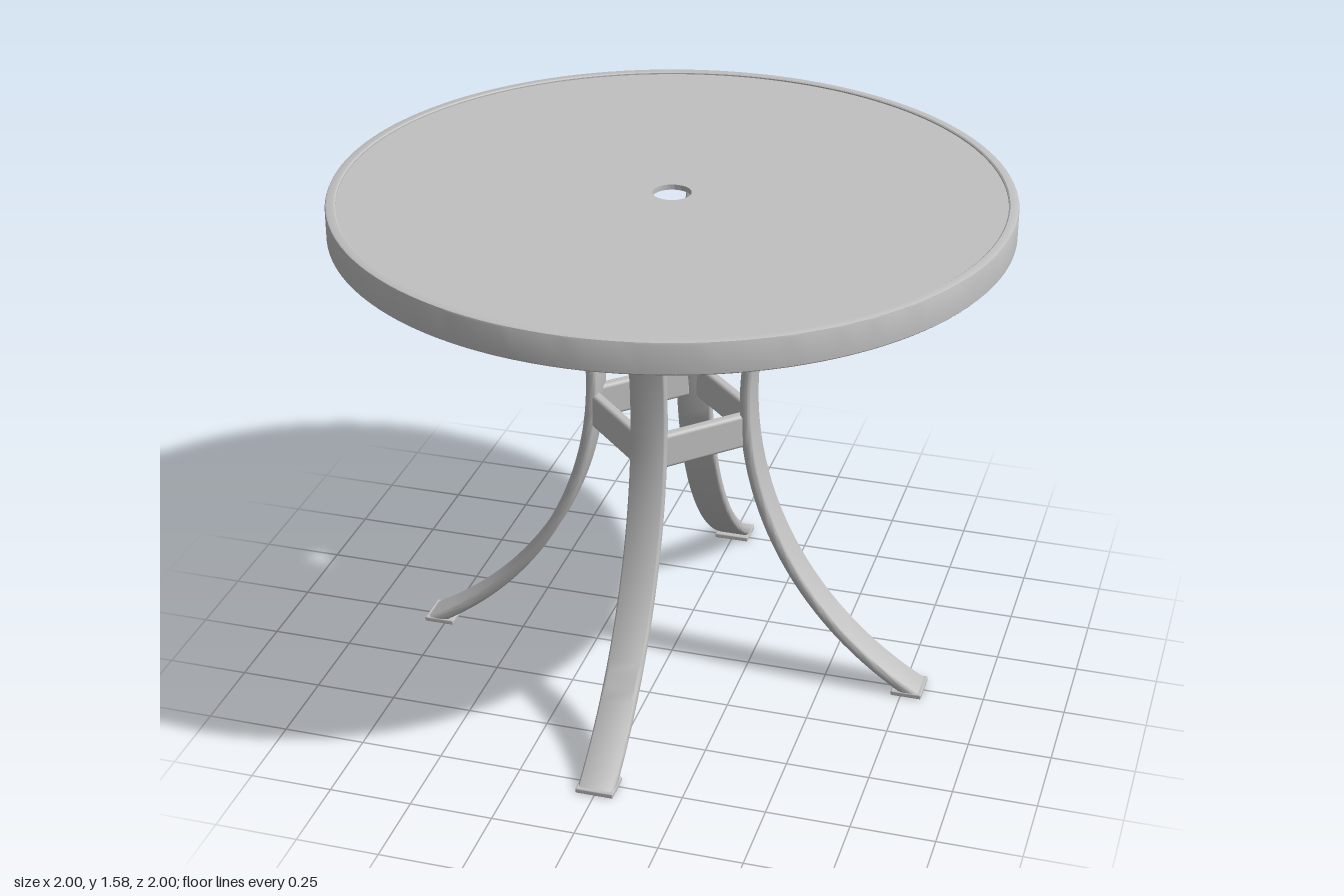
import * as THREE from 'three';
import { toCreasedNormals } from 'three/addons/utils/BufferGeometryUtils.js';
import { RoundedBoxGeometry } from 'three/addons/geometries/RoundedBoxGeometry.js';

const LEG_W = 0.11, LEG_T = 0.035;

// Rounded rectangle cross-section: x across the thickness, y across the width
function legSection(radius = 0.012, steps = 4) {
  const ring = [];
  for (let q = 0; q < 4; q++) {
    const sx = q === 0 || q === 3 ? 1 : -1, sy = q < 2 ? 1 : -1;
    for (let s = 0; s <= steps; s++) {
      const a = (q + s / steps) * Math.PI / 2;
      ring.push([sx * (LEG_T / 2 - radius) + radius * Math.cos(a),
        sy * (LEG_W / 2 - radius) + radius * Math.sin(a)]);
    }
  }
  return ring;
}

// Leg centre line: wide arc up from the foot, tight bend, level arm under the top.
// Each station holds the centre and the direction of the thickness.
function legStations() {
  const R = 1.088, cx = 1.328, cy = 0.95, r = 0.1;
  const a0 = -1.034, a1 = 0.514, out = [];
  const arc = (x, y, rad, from, to, n) => {
    for (let i = 0; i <= n; i++) {
      const a = from + (to - from) * i / n;
      out.push({ x: x - rad * Math.cos(a), y: y + rad * Math.sin(a), nx: Math.cos(a), ny: -Math.sin(a) });
    }
  };
  arc(cx, cy, R, a0, a1, 40);
  out.pop();
  const bx = cx - (R - r) * Math.cos(a1), by = cy + (R - r) * Math.sin(a1);
  arc(bx, by, r, a1, Math.PI / 2, 10);
  out.push({ x: 0.965, y: by + r, nx: 0, ny: -1 });
  // cut the foot end level with the ground
  out[0].nx = 1 / out[0].nx;
  out[0].ny = 0;
  return out;
}

function legGeometry() {
  const ring = legSection(), stations = legStations();
  const n = ring.length, last = (stations.length - 1) * n;
  const pos = [], index = [];
  for (const s of stations)
    for (const [a, b] of ring) pos.push(s.x + s.nx * a, s.y + s.ny * a, b);
  for (let i = 0; i < stations.length - 1; i++)
    for (let j = 0; j < n; j++) {
      const k = (j + 1) % n, p = i * n, q = p + n;
      index.push(p + j, q + j, p + k, q + j, q + k, p + k);
    }
  for (let j = 1; j < n - 1; j++) {
    index.push(0, j, j + 1);
    index.push(last, last + j + 1, last + j);
  }
  const g = new THREE.BufferGeometry();
  g.setAttribute('position', new THREE.Float32BufferAttribute(pos, 3));
  g.setIndex(index);
  return toCreasedNormals(g, 0.6);
}

// Closed lathe ring, profile listed bottom, outside, top, inside
function ringGeometry(points) {
  const profile = [...points, points[0]].map(([x, y]) => new THREE.Vector2(x, y));
  return toCreasedNormals(new THREE.LatheGeometry(profile, 128), 0.5);
}

export function createModel() {
  const group = new THREE.Group();
  group.name = 'roundTable';
  const grey = new THREE.MeshStandardMaterial({ color: 0xc0c0c0 });
  grey.name = 'grey';

  const add = (parent, name, geometry, x = 0, y = 0, z = 0) => {
    const mesh = new THREE.Mesh(geometry, grey);
    mesh.name = name;
    mesh.position.set(x, y, z);
    parent.add(mesh);
    return mesh;
  };

  // Table top: rim band and thin panel with a centre hole
  add(group, 'rim', ringGeometry([
    [0.97, 1.485], [0.996, 1.485], [1, 1.489], [1, 1.574], [0.998, 1.579], [0.994, 1.581],
    [0.974, 1.581], [0.97, 1.578],
  ]));
  add(group, 'tabletop', ringGeometry([[0.057, 1.558], [0.971, 1.558], [0.971, 1.574], [0.057, 1.574]]));

  // Four legs with feet, and the braces joining each neighbouring pair
  const legGeo = legGeometry();
  const footGeo = new RoundedBoxGeometry(0.095, 0.016, 0.114, 2, 0.004);
  const braceGeo = new RoundedBoxGeometry(0.32, 0.11, 0.035, 3, 0.012);
  for (let i = 0; i < 4; i++) {
    const side = new THREE.Group();
    side.name = 'legAssembly' + (i + 1);
    side.rotation.y = i * Math.PI / 2;
    add(side, 'leg', legGeo);
    add(side, 'foot', footGeo, 0.767, 0.008, 0);
    add(side, 'brace', braceGeo, 0.1325, 0.848, 0.1325).rotation.y = Math.PI / 4;
    group.add(side);
  }
  return group;
}
